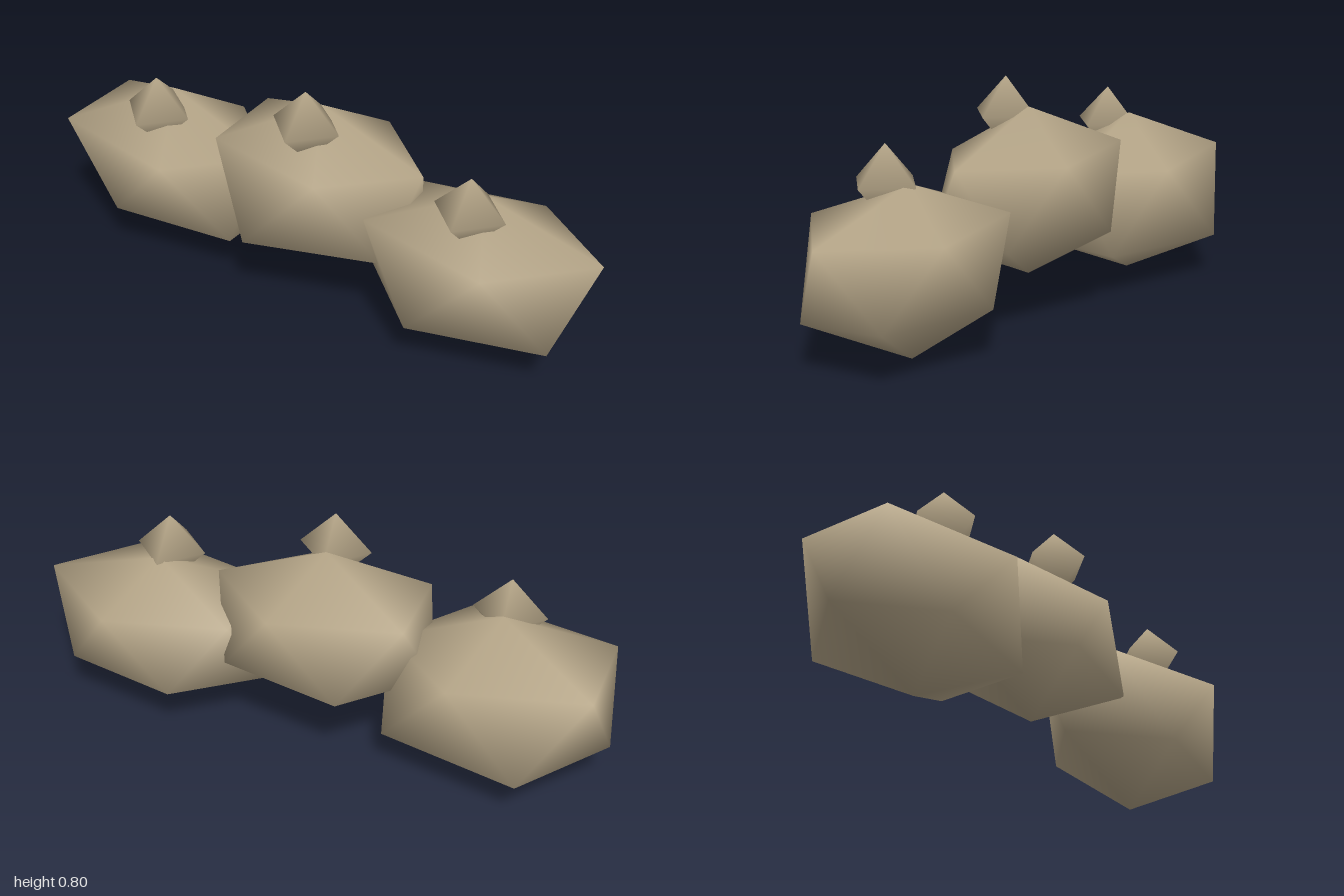
import * as THREE from 'three';

const TAU = Math.PI * 2;

// Twenty-sided lump: top, upper ring, lower ring, bottom; each corner pushed in or out.
function lumpGeometry(size, push) {
  const ring = (y, turn) => [0, 1, 2, 3, 4].map((i) => {
    const a = ((i + turn) / 5) * TAU;
    return new THREE.Vector3(0.894 * Math.cos(a), y, 0.894 * Math.sin(a));
  });
  const corners = [
    new THREE.Vector3(0, 1, 0),
    ...ring(0.447, 0),
    ...ring(-0.447, 0.5),
    new THREE.Vector3(0, -1, 0),
  ];
  corners.forEach((c, i) => c.multiply(size).multiplyScalar(push[i]));

  const index = [];
  for (let i = 0; i < 5; i++) {
    const n = (i + 1) % 5;
    const u = 1 + i, un = 1 + n, l = 6 + i, ln = 6 + n;
    index.push(0, un, u, u, un, l, l, un, ln, 11, l, ln);
  }
  const geometry = new THREE.BufferGeometry().setFromPoints(corners);
  geometry.setIndex(index);
  geometry.computeVertexNormals();
  return geometry;
}

export function createModel() {
  const model = new THREE.Group();
  model.name = 'lumpRow';

  const tan = new THREE.MeshStandardMaterial({ color: 0xb8a88a });
  tan.name = 'tan';

  const size = new THREE.Vector3(0.425, 0.29, 0.29);
  const knobGeometry = new THREE.SphereGeometry(0.125, 4, 2);

  // Push order: top, upper ring from +x towards +z, lower ring likewise, bottom.
  const lumps = [
    { name: 'right', x: -0.615, y: 0.31,
      push: [1, 1, 1.14, 1.13, 1.1, 1, 1.07, 0.92, 1.01, 1.17, 1.12, 1] },
    { name: 'middle', x: -0.015, y: 0.435,
      push: [0.97, 1.01, 0.96, 1.03, 1.03, 1, 1.05, 1.14, 1, 1.03, 1, 1.02] },
    { name: 'left', x: 0.585, y: 0.31,
      push: [0.9, 1.1, 1.16, 1.1, 1, 0.97, 1.05, 1.08, 1.06, 0.96, 0.94, 1.05] },
  ];

  for (const { name, x, y, push } of lumps) {
    const group = new THREE.Group();
    group.name = `${name}Lump`;
    group.position.set(x, y, 0);

    const body = new THREE.Mesh(lumpGeometry(size, push), tan);
    body.name = `${name}Body`;

    // Small pointed knob set into the top, towards the front
    const knob = new THREE.Mesh(knobGeometry, tan);
    knob.name = `${name}Knob`;
    knob.position.set(0, 0.25, 0.095);

    group.add(body, knob);
    model.add(group);
  }
  return model;
}
